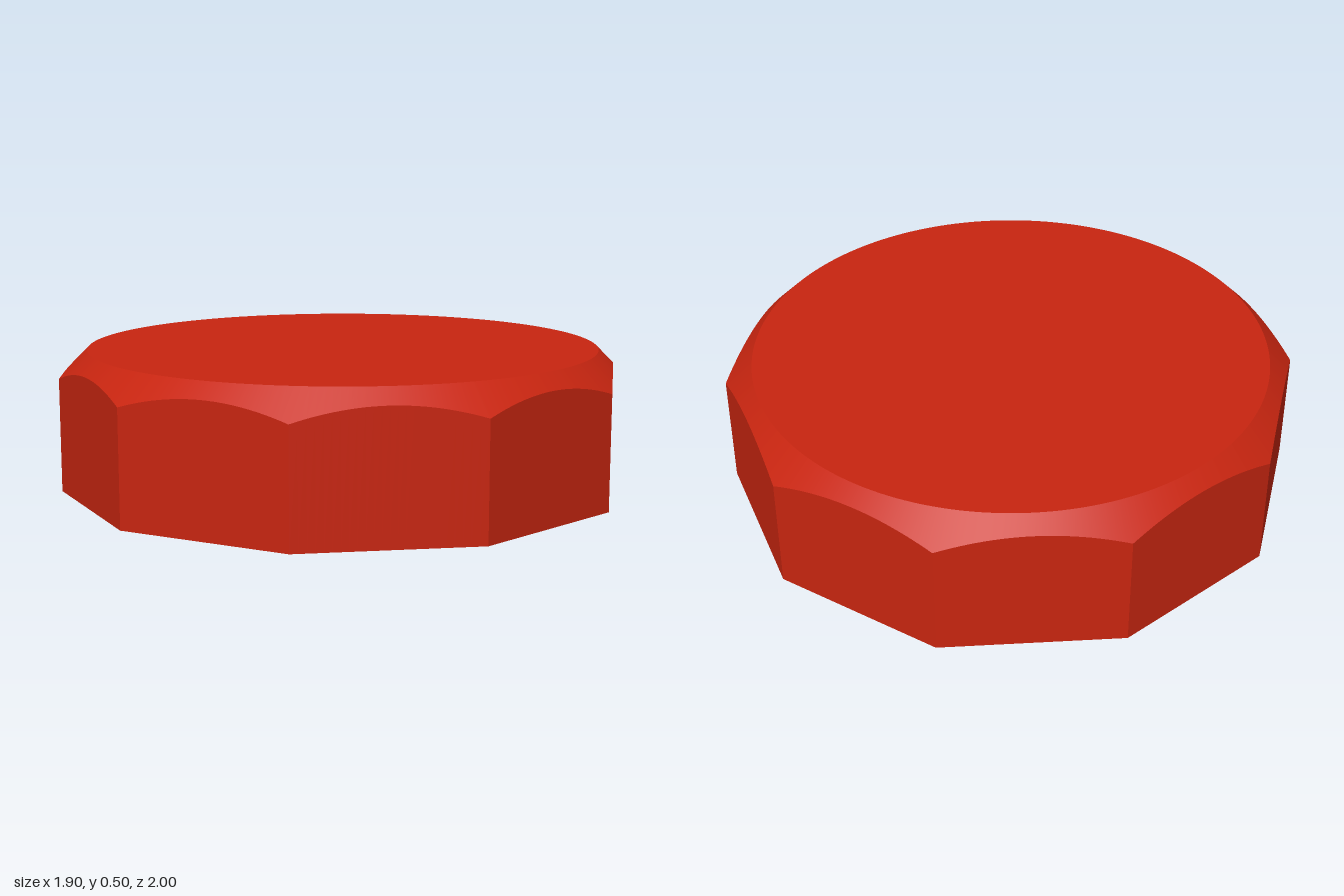
import * as THREE from 'three';

const SIDES = 10, STEP = 2 * Math.PI / SIDES, APOTHEM = Math.cos(STEP / 2);
const HEIGHT = 0.5, TOP_R = 0.9, BORE_R = 0.88, THREAD_R = 0.82, CEILING = 0.4;
const PITCH = 0.25, RIDGE = 0.09;

const point = (angle, r, y) => [r * Math.sin(angle), y, r * Math.cos(angle)];

// Radius of the ten-sided outline, with a corner at angle 0
function outline(angle) {
  const turn = ((angle % STEP) + STEP) % STEP;
  return APOTHEM / Math.cos(turn - STEP / 2);
}

// Ruled strip between two edges, each edge(angle) giving [radius, height]
function strip(from, to, segments, edgeA, edgeB) {
  const positions = [], index = [];
  for (let i = 0; i <= segments; i++) {
    const angle = from + (to - from) * i / segments;
    positions.push(...point(angle, ...edgeA(angle)), ...point(angle, ...edgeB(angle)));
    const k = 2 * i;
    if (i < segments) index.push(k, k + 2, k + 3, k, k + 3, k + 1);
  }
  const geometry = new THREE.BufferGeometry();
  geometry.setAttribute('position', new THREE.Float32BufferAttribute(positions, 3));
  geometry.setIndex(index);
  geometry.computeVertexNormals();
  return geometry;
}

export function createModel() {
  const model = new THREE.Group();
  model.name = 'cap';
  const red = new THREE.MeshStandardMaterial({ color: 0xc82510 });
  red.name = 'red';
  const add = (name, geometry, parent = model) => {
    const mesh = new THREE.Mesh(geometry, red);
    mesh.name = name;
    parent.add(mesh);
    return mesh;
  };
  const full = 2 * Math.PI;
  // The conical chamfer cuts each flat side along a curved upper edge
  const sideTop = a => [outline(a), TOP_R + HEIGHT - outline(a)];

  // Flat grip sides
  const grip = new THREE.Group();
  grip.name = 'gripSides';
  model.add(grip);
  const flat = strip(0, STEP, 24, a => [outline(a), 0], sideTop);
  for (let i = 0; i < SIDES; i++) add('gripSide', flat, grip).rotation.y = i * STEP;

  // Chamfer and top
  add('chamfer', strip(0, full, 240, sideTop, () => [TOP_R, HEIGHT]));
  add('top', new THREE.CircleGeometry(TOP_R, 240).rotateX(-Math.PI / 2).translate(0, HEIGHT, 0));

  // Bottom rim, bore wall and ceiling
  add('bottomRim', strip(0, full, 240, () => [BORE_R, 0], a => [outline(a), 0]));
  add('boreWall', strip(0, full, 240, () => [BORE_R, CEILING], () => [BORE_R, 0]));
  add('boreCeiling', new THREE.CircleGeometry(BORE_R, 240).rotateX(Math.PI / 2).translate(0, CEILING, 0));

  // Helical thread ridge, trimmed at the rim and the ceiling
  const thread = new THREE.Group();
  thread.name = 'thread';
  model.add(thread);
  const offset = THREE.MathUtils.degToRad(58);
  const start = -RIDGE / PITCH * full - offset, end = CEILING / PITCH * full - offset;
  const edge = (r, lift) => a =>
    [r, THREE.MathUtils.clamp((a + offset) / full * PITCH + lift, 0, CEILING)];
  const innerLow = edge(THREAD_R, 0), innerHigh = edge(THREAD_R, RIDGE);
  const outerLow = edge(BORE_R, 0), outerHigh = edge(BORE_R, RIDGE);
  add('threadCrest', strip(start, end, 480, innerHigh, innerLow), thread);
  add('threadUnderside', strip(start, end, 480, innerLow, outerLow), thread);
  add('threadUpperSide', strip(start, end, 480, outerHigh, innerHigh), thread);

  return model;
}
